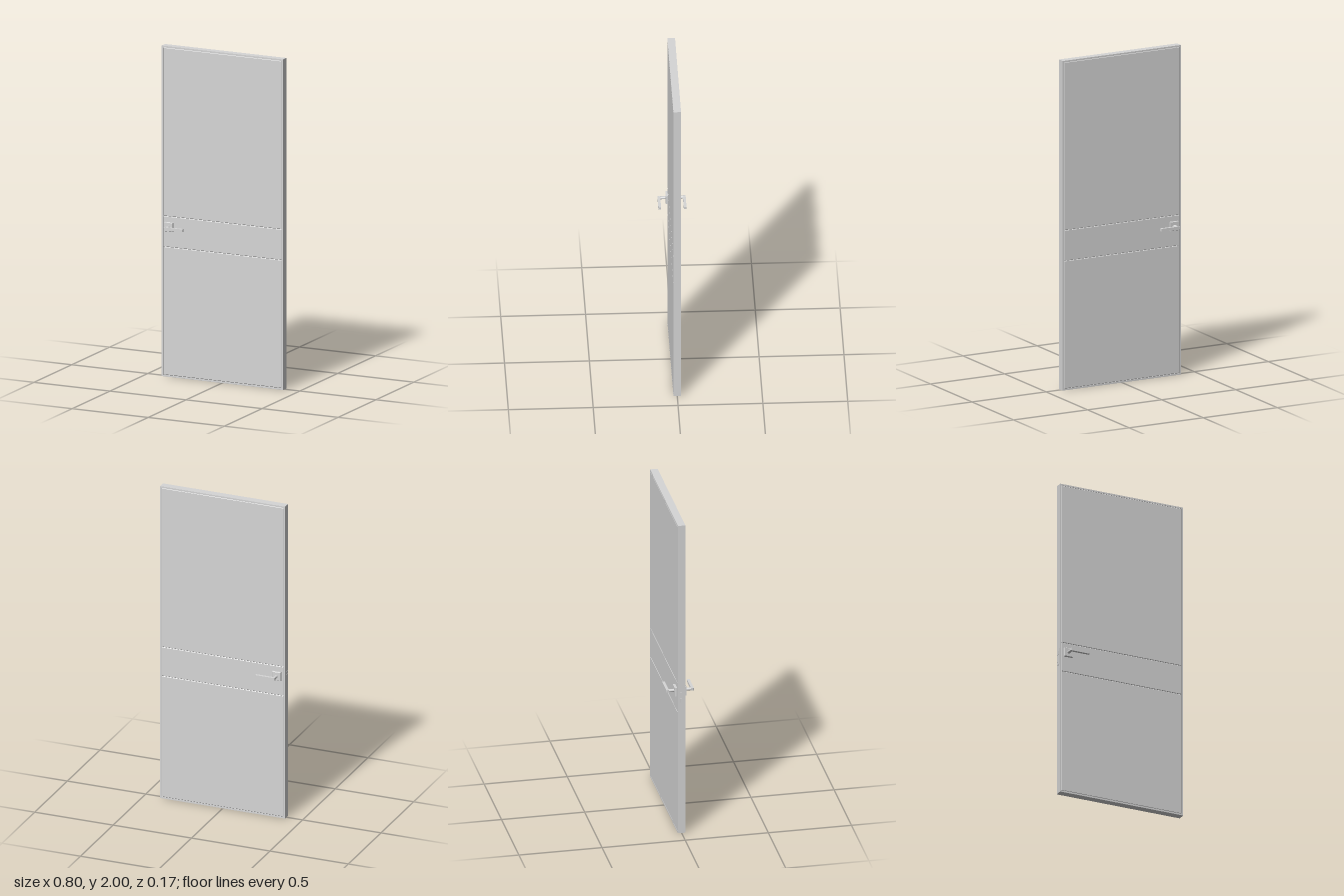
import * as THREE from 'three';

const grey = new THREE.MeshStandardMaterial({ color: 0xd6d6d6 });
grey.name = 'light satin grey';

function box(name, x0, x1, y0, y1, z0, z1) {
  const m = new THREE.Mesh(new THREE.BoxGeometry(x1 - x0, y1 - y0, z1 - z0), grey);
  m.position.set((x0 + x1) / 2, (y0 + y1) / 2, (z0 + z1) / 2);
  m.name = name;
  return m;
}

// Rectangular plate centred on z = 0 with bevelled edges on both faces
function bevelPlate(name, x0, x1, y0, y1, thickness, b) {
  const s = new THREE.Shape([[x0 + b, y0 + b], [x1 - b, y0 + b], [x1 - b, y1 - b], [x0 + b, y1 - b]]
    .map(([x, y]) => new THREE.Vector2(x, y)));
  const g = new THREE.ExtrudeGeometry(s, {
    depth: thickness - 2 * b, bevelSize: b, bevelThickness: b, bevelSegments: 1,
  });
  g.translate(0, 0, b - thickness / 2);
  const m = new THREE.Mesh(g, grey);
  m.name = name;
  return m;
}

// Lever outline in plan: rounded elbow at the neck, softened tip
function leverGeometry() {
  const s = new THREE.Shape();
  s.moveTo(-0.009, 0.067);
  s.lineTo(0.113, 0.067);
  s.quadraticCurveTo(0.116, 0.067, 0.116, 0.07);
  s.lineTo(0.116, 0.08);
  s.quadraticCurveTo(0.116, 0.083, 0.113, 0.083);
  s.lineTo(-0.005, 0.083);
  s.quadraticCurveTo(-0.009, 0.083, -0.009, 0.079);
  s.closePath();
  const g = new THREE.ExtrudeGeometry(s, { depth: 0.016, bevelEnabled: false, curveSegments: 5 });
  g.translate(0, 0, -0.008);
  g.rotateX(Math.PI / 2);
  return g;
}

// Rosette, neck and lever for the front face
function makeHandle(name) {
  const g = new THREE.Group();
  g.name = name;
  const rosette = bevelPlate('rosette', -0.0275, 0.0275, -0.0275, 0.0275, 0.016, 0.002);
  rosette.position.z = 0.0275;
  const neck = new THREE.Mesh(new THREE.CylinderGeometry(0.009, 0.009, 0.045, 24), grey);
  neck.rotation.x = Math.PI / 2;
  neck.position.z = 0.0525;
  neck.name = 'neck';
  const lever = new THREE.Mesh(leverGeometry(), grey);
  lever.name = 'lever';
  g.add(rosette, neck, lever);
  g.position.set(-0.347, 0.909, 0);
  return g;
}

export function createModel() {
  const door = new THREE.Group();
  door.name = 'door';
  const x0 = -0.398, x1 = 0.4, t = 0.0225, rim = 0.01;

  // Edge frame
  door.add(
    box('hingeEdge', x1 - rim, x1, 0, 2, -t, t),
    box('latchEdge', x0, x0 + rim, 0, 2, -t, t),
    box('topEdge', x0 + rim, x1 - rim, 2 - rim, 2, -t, t),
    box('bottomEdge', x0 + rim, x1 - rim, 0, rim, -t, t),
  );

  // Three panels whose bevelled edges meet in V-shaped grooves
  const levels = [rim, 0.785, 0.971, 2 - rim];
  ['lowerPanel', 'middlePanel', 'upperPanel'].forEach((name, i) => {
    door.add(bevelPlate(name, x0 + rim, x1 - rim, levels[i], levels[i + 1], 2 * t, 0.003));
  });

  // Lock plate and bolts in the latch edge
  door.add(
    box('lockPlate', -0.3995, -0.397, 0.83, 0.937, -0.011, 0.011),
    box('latchBolt', -0.402, -0.397, 0.895, 0.918, -0.007, 0.007),
    box('deadBolt', -0.401, -0.397, 0.85, 0.875, -0.006, 0.006),
  );

  // Handles on both faces
  const back = makeHandle('backHandle');
  back.rotation.x = Math.PI;
  door.add(makeHandle('frontHandle'), back);
  return door;
}
